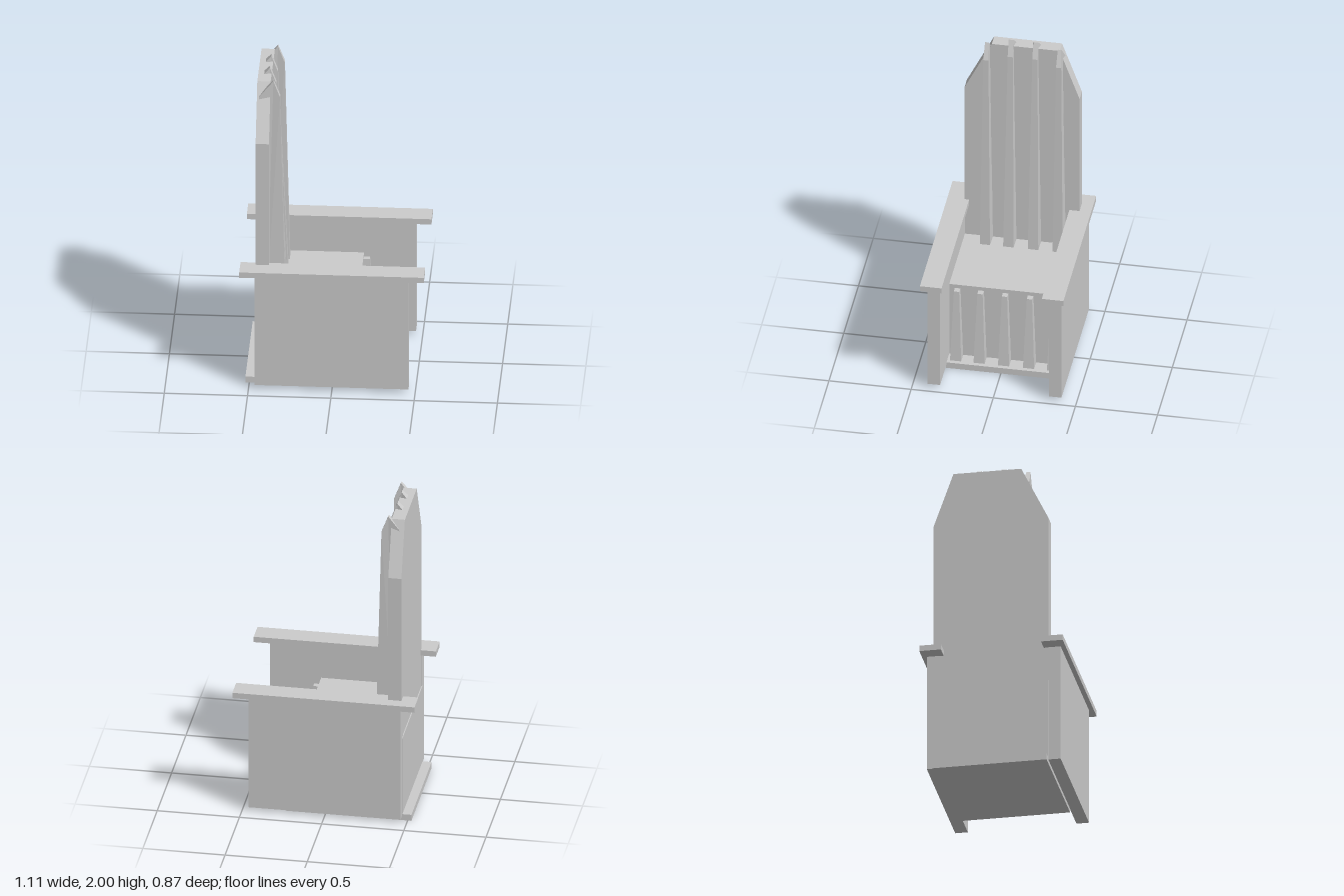
import * as THREE from 'three';

const material = new THREE.MeshStandardMaterial({ color: 0xcccccc, flatShading: true });

function addMesh(parent, name, geometry) {
  const mesh = new THREE.Mesh(geometry, material);
  mesh.name = name;
  parent.add(mesh);
  return mesh;
}

// Box given by its limits on each axis
function addBox(parent, name, [x0, x1], [y0, y1], [z0, z1]) {
  const mesh = addMesh(parent, name, new THREE.BoxGeometry(x1 - x0, y1 - y0, z1 - z0));
  mesh.position.set((x0 + x1) / 2, (y0 + y1) / 2, (z0 + z1) / 2);
}

// Tapered slat: counterclockwise side profile of [x, y, half width in z]
function slatGeometry(profile) {
  const positions = [];
  const put = (i, side) => {
    const [x, y, half] = profile[i];
    positions.push(x, y, side * half);
  };
  const n = profile.length;
  for (let i = 1; i < n - 1; i++) {
    put(0, 1); put(i, 1); put(i + 1, 1);
    put(0, -1); put(i + 1, -1); put(i, -1);
  }
  for (let i = 0; i < n; i++) {
    const j = (i + 1) % n;
    put(i, 1); put(i, -1); put(j, -1);
    put(i, 1); put(j, -1); put(j, 1);
  }
  const geometry = new THREE.BufferGeometry();
  geometry.setAttribute('position', new THREE.Float32BufferAttribute(positions, 3));
  geometry.computeVertexNormals();
  return geometry;
}

export function createModel() {
  const chair = new THREE.Group();
  chair.name = 'chair';
  const inner = [-0.367, 0.333];

  // Base plate and solid seat
  addBox(chair, 'basePlate', [-0.523, 0.243], [0, 0.04], inner);
  addBox(chair, 'seat', [-0.468, 0.148], [0.04, 0.55], inner);

  // Side panels with overhanging armrests
  for (const [side, label] of [[1, 'Left'], [-1, 'Right']]) {
    const span = (a, b) => (side > 0 ? [a, b] : [-b, -a]);
    addBox(chair, 'sidePanel' + label, [-0.465, 0.46], [0.025, 0.767], span(0.331, 0.408));
    addBox(chair, 'armrest' + label, [-0.554, 0.554], [0.767, 0.803], span(0.305, 0.437));
  }

  // Tall backrest with cut corners, outline drawn in z and y
  const outline = new THREE.Shape([
    [-0.367, 0.545], [0.333, 0.545], [0.333, 1.625],
    [0.167, 1.963], [-0.246, 1.963], [-0.367, 1.625],
  ].map(([z, y]) => new THREE.Vector2(-z, y)));
  const backrest = addMesh(chair, 'backrest',
    new THREE.ExtrudeGeometry(outline, { depth: 0.08, bevelEnabled: false }));
  backrest.rotation.y = Math.PI / 2;
  backrest.position.x = -0.462;

  // Pointed slats on the backrest
  const outerSlat = slatGeometry([
    [-0.4, 0.54, 0.033], [-0.291, 0.54, 0.031], [-0.323, 1.88, 0.016],
    [-0.363, 1.985, 0.012], [-0.45, 1.88, 0.022],
  ]);
  const innerSlat = slatGeometry([
    [-0.4, 0.54, 0.033], [-0.291, 0.54, 0.032], [-0.355, 1.9, 0.016],
    [-0.393, 2, 0.016], [-0.447, 1.94, 0.03],
  ]);
  [-0.25, -0.1, 0.05, 0.193].forEach((z, i) => {
    const geometry = i === 0 || i === 3 ? outerSlat : innerSlat;
    addMesh(chair, 'backSlat', geometry).position.z = z;
  });

  // Tapered slats below the seat front
  const frontSlat = slatGeometry([
    [0.14, 0.035, 0.034], [0.218, 0.035, 0.034], [0.185, 0.525, 0.016], [0.14, 0.525, 0.018],
  ]);
  for (const z of [-0.31, -0.164, -0.012, 0.137, 0.28]) {
    addMesh(chair, 'frontSlat', frontSlat).position.z = z;
  }

  return chair;
}
